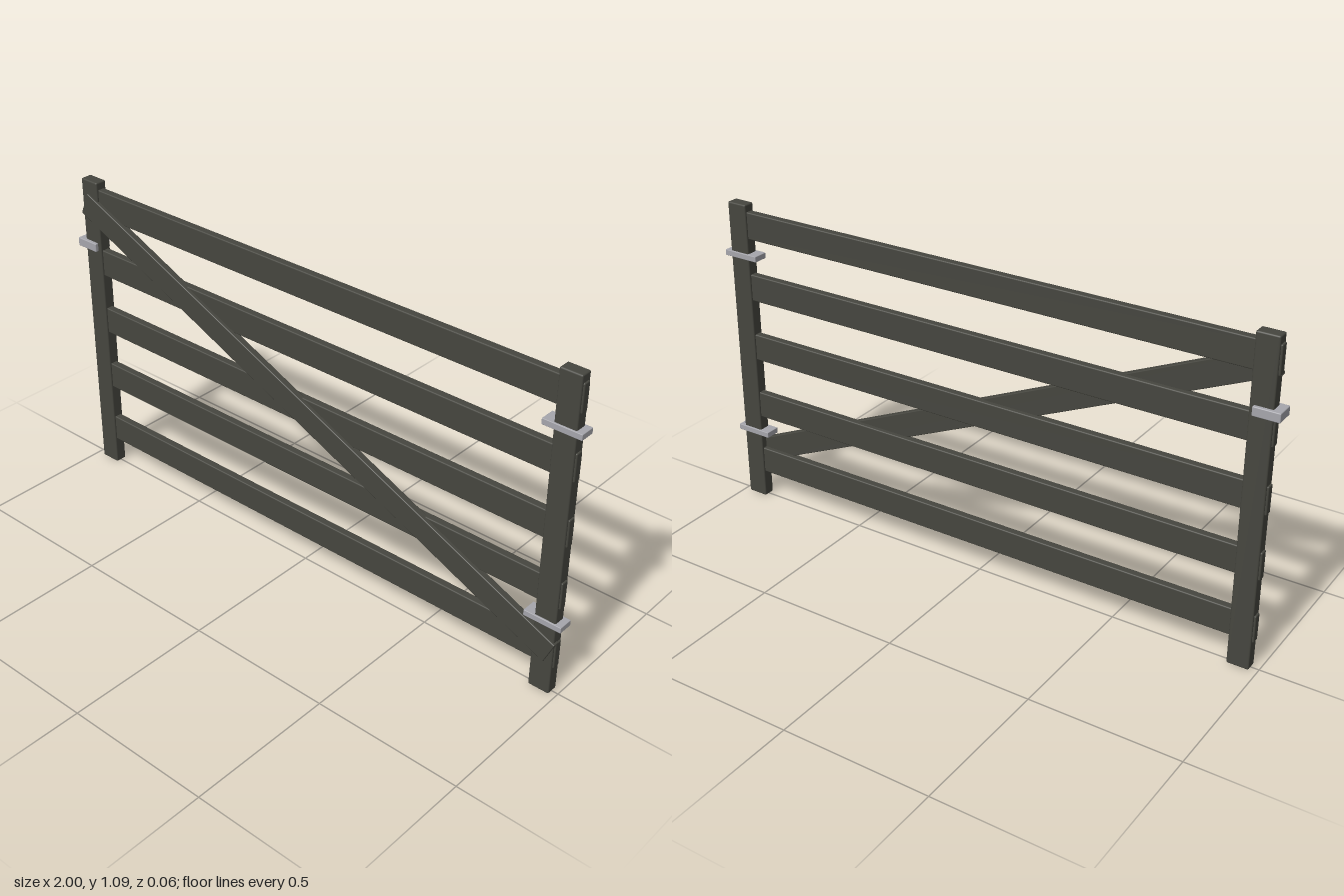
import * as THREE from 'three';
import { RoundedBoxGeometry } from 'three/addons/geometries/RoundedBoxGeometry.js';

export function createModel() {
  const gate = new THREE.Group();
  gate.name = 'fieldGate';

  const wood = new THREE.MeshStandardMaterial({ color: 0x46463f });
  wood.name = 'dark wood';
  const metal = new THREE.MeshStandardMaterial({ color: 0xa6a6ac });
  metal.name = 'grey metal';

  // A softly bevelled bar of the given size, centred on a position
  function bar(name, material, size, position, bevel = 0.004) {
    const mesh = new THREE.Mesh(new RoundedBoxGeometry(...size, 2, bevel), material);
    mesh.name = name;
    mesh.position.set(...position);
    gate.add(mesh);
    return mesh;
  }

  // Upright posts
  bar('rightPost', wood, [0.073, 1.09, 0.041], [-0.937, 0.545, 0], 0.005);
  bar('leftPost', wood, [0.073, 1.09, 0.041], [0.942, 0.545, 0], 0.005);

  // Five horizontal rails, their ends just passing through the posts
  for (let i = 0; i < 5; i++) {
    bar('rail' + (i + 1), wood, [1.963, 0.094, 0.027], [0.002, 0.143 + i * 0.2185, 0]);
  }

  // Diagonal brace across the front
  const brace = bar('diagonalBrace', wood, [2.11, 0.084, 0.024], [0.003, 0.578, 0.014], 0.003);
  brace.rotation.z = -Math.atan2(0.855, 1.936);

  // Hinge straps around the left post
  for (const [name, y] of [['upperHinge', 0.91], ['lowerHinge', 0.255]]) {
    bar(name, metal, [0.13, 0.02, 0.052], [0.935, y, 0], 0.002);
  }

  // Latch on the right post
  bar('latch', metal, [0.086, 0.03, 0.064], [-0.957, 0.856, 0], 0.003);

  return gate;
}
